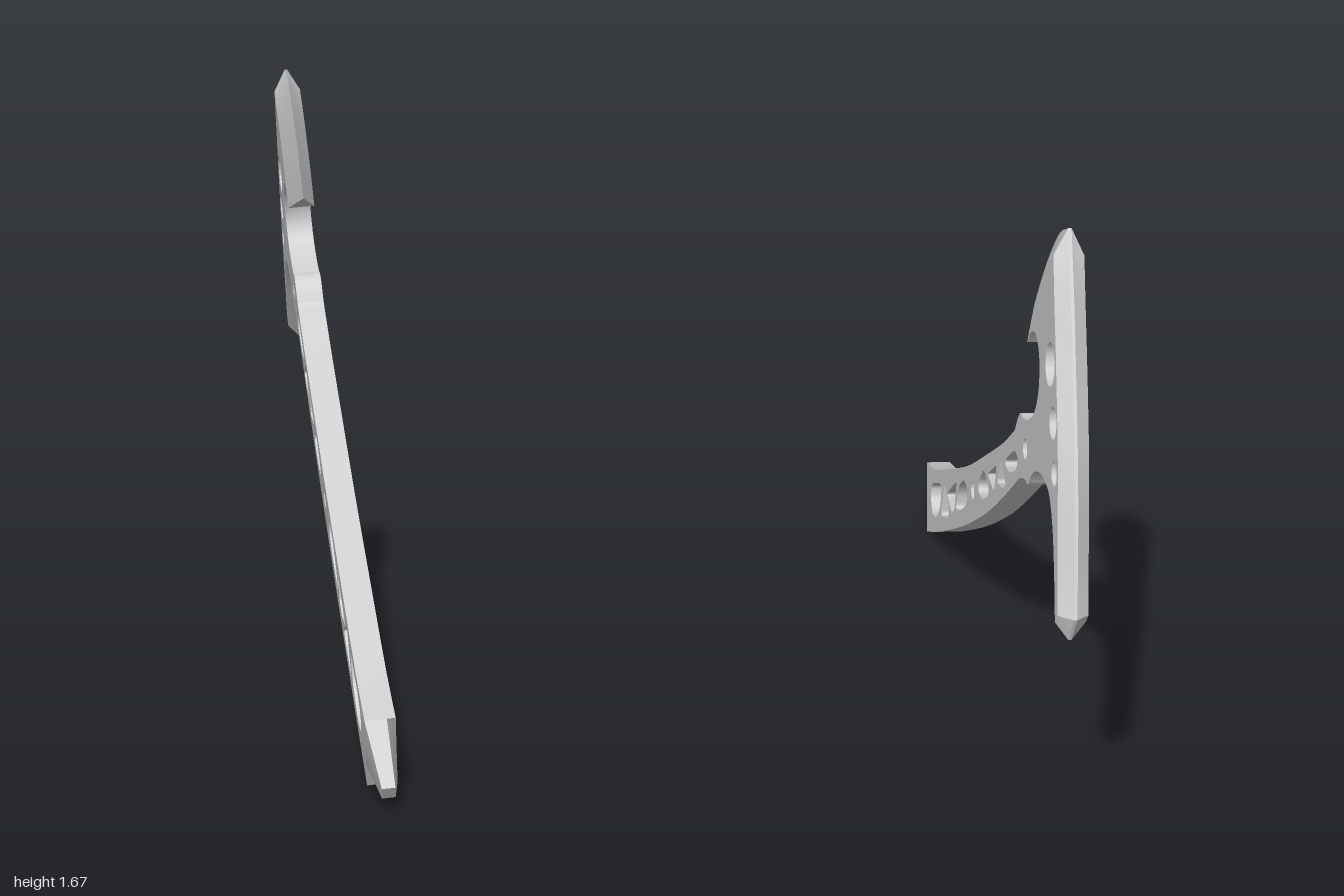
import * as THREE from 'three';
import { toCreasedNormals } from 'three/addons/utils/BufferGeometryUtils.js';

const HALF = 0.037; // half the plate thickness
const V = (p) => new THREE.Vector2(p[0], p[1]);
const spline = (pts, n) => new THREE.SplineCurve(pts.map(V)).getPoints(n);

// The tool is drawn flat (u = toward the back, v = up, w = thickness), then laid in its leaning plane
const SZ = 0.112, SY = -0.087, X0 = 0.053;
const plane = new THREE.Matrix4().makeBasis(
  new THREE.Vector3(-SZ, 0, -1),
  new THREE.Vector3(SY, 1, 0),
  new THREE.Vector3(1, -SY, -SZ).normalize()
).setPosition(X0, 0, 0);

// Closed hole with rounded corners; r is the share of each side given to the corner
function roundedHole(pts, r) {
  const path = new THREE.Path(), n = pts.length;
  pts.map(V).forEach((p, i, a) => {
    const from = p.clone().lerp(a[(i + n - 1) % n], r);
    const to = p.clone().lerp(a[(i + 1) % n], r);
    if (i === 0) path.moveTo(from.x, from.y);
    else path.lineTo(from.x, from.y);
    path.quadraticCurveTo(p.x, p.y, to.x, to.y);
  });
  path.closePath();
  return path;
}

function roundHole(u, v, r) {
  const path = new THREE.Path();
  path.absarc(u, v, r, 0, Math.PI * 2, true);
  return path;
}

// Tapered rim from the full-thickness inner line to an outer line of half thickness e
function taper(inner, outer, e) {
  const pos = [];
  const at = (p, w) => [p.x, p.y, w];
  const quad = (a, b, c, d) => pos.push(...a, ...b, ...c, ...a, ...c, ...d);
  const last = inner.length - 1;
  for (let i = 0; i < last; i++) {
    const [a, b, c, d] = [inner[i], inner[i + 1], outer[i + 1], outer[i]];
    quad(at(a, HALF), at(b, HALF), at(c, e), at(d, e));
    quad(at(d, -e), at(c, -e), at(b, -HALF), at(a, -HALF));
    if (e > 0) quad(at(d, e), at(c, e), at(c, -e), at(d, -e));
  }
  const [i0, o0, i1, o1] = [inner[0], outer[0], inner[last], outer[last]];
  quad(at(i0, HALF), at(o0, e), at(o0, -e), at(i0, -HALF));
  quad(at(i1, -HALF), at(o1, -e), at(o1, e), at(i1, HALF));
  const geo = new THREE.BufferGeometry();
  geo.setAttribute('position', new THREE.Float32BufferAttribute(pos, 3));
  return geo;
}

export function createModel() {
  const group = new THREE.Group();
  const material = new THREE.MeshStandardMaterial({ color: 0xcccccc, side: THREE.DoubleSide });
  const add = (name, geo) => {
    geo.applyMatrix4(plane);
    const mesh = new THREE.Mesh(toCreasedNormals(geo, 0.5), material);
    mesh.name = name;
    group.add(mesh);
  };

  // Rim lines: full-thickness inner line and thin outer line, clockwise
  const rims = {
    bladeEdge: {
      inner: spline([[0.35, 1.29], [0.38, 1.38], [0.42, 1.46], [0.47, 1.54], [0.53, 1.61]], 24),
      outer: spline([[0.22, 1.325], [0.27, 1.42], [0.33, 1.515], [0.415, 1.615], [0.51, 1.67]], 24),
      e: 0,
    },
    spineBevel: {
      inner: spline([[0.53, 1.61], [0.6, 1.51], [0.69, 1.385], [0.8, 1.22], [0.89, 1.05], [0.972, 0.9]], 20),
      outer: spline([[0.51, 1.67], [0.62, 1.53], [0.72, 1.39], [0.835, 1.22], [0.92, 1.07], [1, 0.905]], 20),
      e: 0.004,
    },
    spikeTip: {
      inner: [[0.972, 0.9], [0.955, 0.87]].map(V),
      outer: [[1, 0.905], [0.97, 0.83]].map(V),
      e: 0.004,
    },
    spikeUnderside: {
      inner: spline([[0.955, 0.87], [0.9, 0.955], [0.83, 1.045], [0.76, 1.095], [0.7, 1.1]], 16),
      outer: spline([[0.97, 0.83], [0.9, 0.925], [0.82, 1.025], [0.755, 1.08], [0.7, 1.1]], 16),
      e: 0.004,
    },
    pommelTaper: {
      inner: [[-0.815, 0.005], [-0.85, 0.07], [-0.885, 0.135], [-0.92, 0.2]].map(V),
      outer: [[-0.815, 0.005], [-0.98, 0.03], [-1, 0.06], [-0.92, 0.2]].map(V),
      e: 0.016,
    },
  };
  for (const [name, r] of Object.entries(rims)) add(name, taper(r.inner, r.outer, r.e));

  // Flat body: head, neck and handle in one plate
  const throat = spline([[0.7, 1.1], [0.635, 1.085], [0.575, 1.05], [0.545, 1.015], [0.525, 0.985],
    [0.48, 0.975], [0.42, 0.94]], 28);
  const handleBelly = spline([[0.42, 0.94], [0.29, 0.815], [0.075, 0.625], [-0.165, 0.44],
    [-0.355, 0.305], [-0.62, 0.127], [-0.815, 0.005]], 30);
  const handleBack = spline([[-0.92, 0.2], [-0.755, 0.27], [-0.515, 0.415], [-0.245, 0.585],
    [0, 0.765], [0.19, 0.91], [0.315, 1.02]], 30);
  const hook = spline([[0.315, 1.02], [0.335, 1.065], [0.36, 1.095], [0.395, 1.1], [0.45, 1.125],
    [0.51, 1.18], [0.53, 1.255], [0.5, 1.325], [0.44, 1.355], [0.385, 1.335], [0.35, 1.29]], 50);
  const body = new THREE.Shape([
    ...rims.bladeEdge.inner, ...rims.spineBevel.inner, ...rims.spikeTip.inner,
    ...rims.spikeUnderside.inner, ...throat, ...handleBelly,
    ...rims.pommelTaper.inner, ...handleBack, ...hook.slice(0, -1),
  ].filter((p, i, a) => i === 0 || p.distanceTo(a[i - 1]) > 1e-4));

  // Round holes in the head, neck and mid handle
  [[0.62, 1.37, 0.053], [0.715, 1.265, 0.039], [0.782, 1.168, 0.03], [0.455, 1.045, 0.026],
    [-0.145, 0.563, 0.025]].forEach((h) => body.holes.push(roundHole(...h)));

  // Long slots in the handle
  [
    [[0.24, 0.89], [0.335, 0.975], [0.385, 0.98], [0.38, 0.94], [0.31, 0.89], [0.25, 0.875]],
    [[-0.075, 0.635], [-0.02, 0.71], [0.065, 0.7], [0.07, 0.675], [0.0, 0.62], [-0.065, 0.605]],
    [[-0.37, 0.36], [-0.365, 0.435], [-0.3, 0.51], [-0.22, 0.525], [-0.215, 0.475], [-0.285, 0.41]],
    [[-0.8, 0.195], [-0.625, 0.3], [-0.62, 0.21], [-0.675, 0.14], [-0.75, 0.115], [-0.795, 0.145]],
  ].forEach((p) => body.holes.push(roundedHole(p, 0.38)));

  // Triangular holes in the handle
  [
    [[0.165, 0.775], [0.185, 0.87], [0.275, 0.835], [0.245, 0.805]],
    [[0.035, 0.725], [0.14, 0.815], [0.14, 0.73]],
    [[-0.53, 0.32], [-0.395, 0.445], [-0.39, 0.35], [-0.425, 0.315]],
    [[-0.595, 0.2], [-0.585, 0.335], [-0.465, 0.295], [-0.485, 0.26]],
  ].forEach((p) => body.holes.push(roundedHole(p, 0.18)));

  const plate = new THREE.ExtrudeGeometry(body, { depth: HALF * 2, bevelEnabled: false, curveSegments: 10 });
  plate.translate(0, 0, -HALF);
  add('headAndHandle', plate);
  return group;
}
